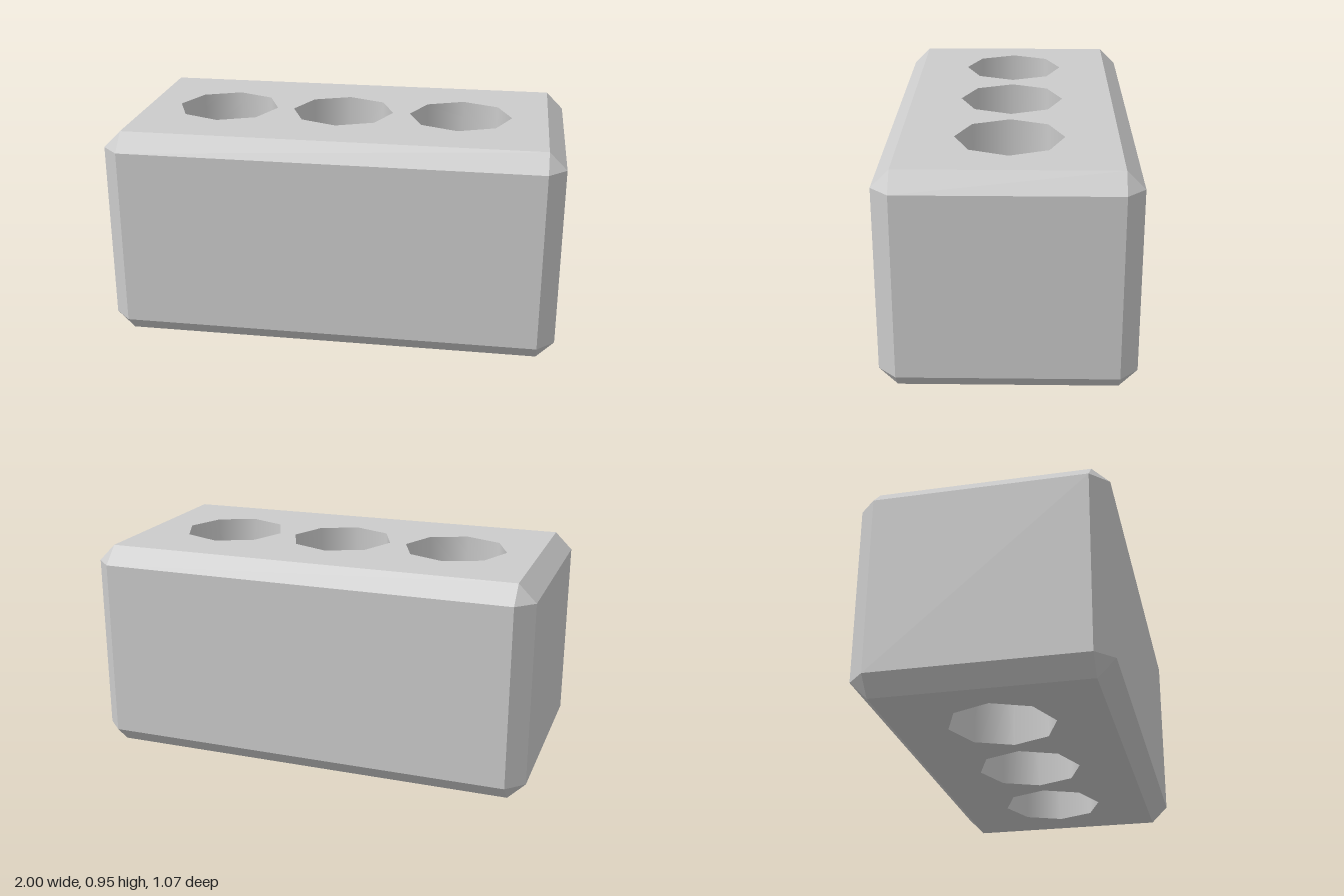
import * as THREE from 'three';

const W = 1, D = 0.535, H = 0.955, C = 0.077; // half width, half depth, height, chamfer
const HOLE_R = 0.232, HOLE_X = [-0.55, -0.01, 0.53], SIDES = 8;

// Two points per corner, counterclockwise from above; both coincide when inset
function ring(y, inset) {
  const corners = [[1, 1], [-1, 1], [-1, -1], [1, -1]];
  return corners.flatMap(([sx, sz], i) => {
    const onSide = [sx * (inset ? W - C : W), y, -sz * (D - C)];
    const onFront = [sx * (W - C), y, -sz * (inset ? D - C : D)];
    return i % 2 ? [onFront, onSide] : [onSide, onFront];
  });
}

// Walls, edge chamfers and corner triangles between stacked rings
function shellGeometry() {
  const rings = [ring(0, true), ring(C, false), ring(H - C, false), ring(H, true)];
  const pos = [];
  const same = (p, q) => p.every((v, k) => v === q[k]);
  for (let r = 0; r < 3; r++) {
    for (let i = 0; i < 8; i++) {
      const j = (i + 1) % 8;
      const a = rings[r][i], b = rings[r][j], c = rings[r + 1][j], d = rings[r + 1][i];
      if (!same(a, b)) pos.push(...a, ...b, ...c);
      if (!same(c, d)) pos.push(...a, ...c, ...d);
    }
  }
  const geo = new THREE.BufferGeometry();
  geo.setAttribute('position', new THREE.Float32BufferAttribute(pos, 3));
  geo.computeVertexNormals();
  return geo;
}

// Flat rectangle pierced by the octagonal holes
function capGeometry() {
  const w = W - C, d = D - C;
  const shape = new THREE.Shape([[w, d], [-w, d], [-w, -d], [w, -d]].map(p => new THREE.Vector2(...p)));
  for (const x of HOLE_X) {
    const pts = Array.from({ length: SIDES }, (_, i) => {
      const t = -i / SIDES * Math.PI * 2;
      return new THREE.Vector2(x + HOLE_R * Math.cos(t), HOLE_R * Math.sin(t));
    });
    shape.holes.push(new THREE.Path(pts));
  }
  return new THREE.ShapeGeometry(shape);
}

export function createModel() {
  const group = new THREE.Group();
  group.name = 'brick';
  const solid = new THREE.MeshStandardMaterial({ color: 0xcccccc });
  const open = new THREE.MeshStandardMaterial({ color: 0xcccccc, side: THREE.DoubleSide });
  const add = (name, geo, mat) => {
    const mesh = new THREE.Mesh(geo, mat);
    mesh.name = name;
    group.add(mesh);
    return mesh;
  };

  add('chamferedSides', shellGeometry(), solid);
  add('topFace', capGeometry().rotateX(-Math.PI / 2).translate(0, H, 0), solid);
  add('bottomFace', capGeometry().rotateX(Math.PI / 2), solid);

  // Smooth-shaded walls of the through holes
  HOLE_X.forEach((x, i) => {
    const wall = new THREE.CylinderGeometry(HOLE_R, HOLE_R, H, SIDES, 1, true);
    add(`holeWall${i + 1}`, wall, open).position.set(x, H / 2, 0);
  });
  return group;
}
